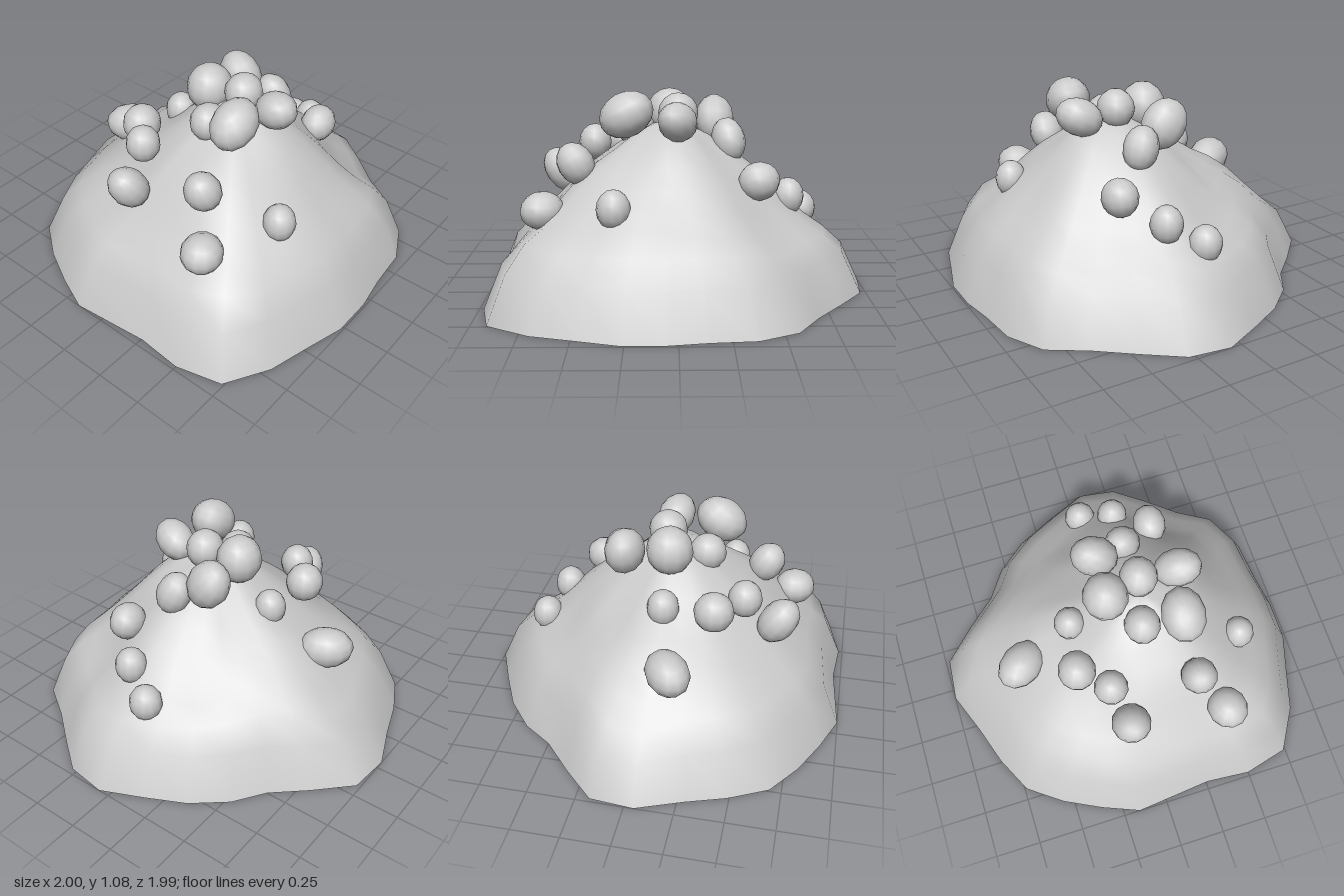
import * as THREE from 'three';

// Ground outline of the mound as x, z pairs, back -> right -> front -> left
const OUTLINE = [
  [-0.05, -1], [0.18, -0.98], [0.35, -0.81], [0.5, -0.64], [0.66, -0.53], [0.8, -0.36], [0.9, -0.16],
  [1, 0.06], [0.97, 0.28], [0.83, 0.47], [0.69, 0.65], [0.57, 0.84], [0.37, 0.94], [0.14, 0.96],
  [-0.05, 0.99], [-0.27, 0.99], [-0.48, 0.93], [-0.7, 0.87], [-0.92, 0.74], [-0.98, 0.5], [-0.96, 0.26],
  [-1, -0.16], [-0.92, -0.36], [-0.82, -0.56], [-0.69, -0.74], [-0.49, -0.84], [-0.28, -0.91],
];

// Height of the mound at each fraction of the way from summit to rim
const PROFILE = [
  [0, 0.9], [0.1, 0.88], [0.2, 0.83], [0.3, 0.76], [0.4, 0.69], [0.5, 0.61],
  [0.6, 0.52], [0.7, 0.43], [0.8, 0.345], [0.9, 0.23], [1, 0],
];

// Local humps and hollows: x, z, height, radius
const BUMPS = [
  [0, 0.38, 0.05, 0.15], [0.27, -0.52, 0.05, 0.16], [0.52, -0.17, -0.06, 0.17], [0.47, 0.5, -0.07, 0.17],
  [0.7, 0.18, -0.05, 0.17], [-0.75, 0.62, 0.025, 0.12], [-0.5, 0.57, -0.02, 0.12], [-0.2, 0.72, 0.02, 0.15],
  [-0.5, 0.22, 0.02, 0.15], [-0.05, -0.3, -0.04, 0.15], [0.2, -0.26, -0.03, 0.13], [-0.42, -0.28, -0.045, 0.2],
  [0.62, -0.4, 0.03, 0.12], [-0.74, 0.4, -0.025, 0.12], [0, -0.8, -0.06, 0.2], [-0.72, -0.12, -0.025, 0.15],
];

const SUMMIT = [-0.05, 0.12];

function createMound(material) {
  const n = OUTLINE.length;
  const positions = [];
  const index = [];
  for (const [t, height] of PROFILE) {
    for (const [ox, oz] of OUTLINE) {
      const x = THREE.MathUtils.lerp(SUMMIT[0], ox, t);
      const z = THREE.MathUtils.lerp(SUMMIT[1], oz, t);
      let y = height;
      for (const [bx, bz, amount, radius] of BUMPS) {
        const d2 = (x - bx) ** 2 + (z - bz) ** 2;
        y += amount * Math.exp(-d2 / radius ** 2) * Math.min(1, (1 - t) * 6);
      }
      positions.push(x, y, z);
    }
  }
  // Join neighbouring rings; the first ring is the summit point
  for (let r = 0; r < PROFILE.length - 1; r++) {
    for (let i = 0; i < n; i++) {
      const j = (i + 1) % n;
      const a = r * n + i, b = r * n + j, c = a + n, d = b + n;
      if (r === 0) index.push(0, d, c);
      else index.push(a, b, c, b, d, c);
    }
  }
  const geometry = new THREE.BufferGeometry();
  geometry.setAttribute('position', new THREE.Float32BufferAttribute(positions, 3));
  geometry.setIndex(index);
  geometry.computeVertexNormals();
  const mound = new THREE.Mesh(geometry, material);
  mound.name = 'mound';
  return mound;
}

// Eggs: centre x, y, z, radii x, y, z, then pitch, yaw, roll (0 when left out)
const EGGS = [
  [-0.04, 0.925, -0.06, 0.125, 0.13, 0.12],
  [0.205, 0.885, -0.045, 0.105, 0.14, 0.12, -0.6, -0.35],
  [0.005, 0.945, 0.13, 0.105, 0.105, 0.1],
  [-0.22, 0.86, 0.08, 0.1, 0.1, 0.095],
  [-0.26, 0.955, 0.28, 0.145, 0.115, 0.115, 0, 0, 0.5],
  [0, 0.925, 0.34, 0.1, 0.098, 0.13, -0.45, -0.25],
  [0.27, 0.8, 0.13, 0.09, 0.12, 0.095, -0.35, 0, 0.2],
  [0.415, 0.62, 0.335, 0.108, 0.1, 0.092, 0, 0, 0.3],
  [0.585, 0.505, 0.17, 0.085, 0.1, 0.085],
  [0.675, 0.4, 0, 0.085, 0.098, 0.088],
  [-0.13, 0.52, -0.565, 0.11, 0.108, 0.147, 0, 0.6],
  [-0.045, 0.7, -0.26, 0.085, 0.1, 0.085],
  [-0.315, 0.735, -0.3, 0.105, 0.105, 0.1],
  [-0.63, 0.595, -0.105, 0.098, 0.135, 0.105, 0, 0, 0.6],
  [-0.455, 0.745, -0.16, 0.09, 0.1, 0.09],
  [-0.52, 0.705, 0.295, 0.095, 0.115, 0.095, 0, 0, 0.5],
  [-0.68, 0.49, 0.42, 0.115, 0.097, 0.107, 0, 0.4],
  [-0.312, 0.54, 0.608, 0.085, 0.1, 0.085],
];

export function createModel() {
  const model = new THREE.Group();
  model.name = 'eggMound';

  // Hollow mound, open underneath
  const moundMaterial = new THREE.MeshStandardMaterial({ color: 0xcccccc, side: THREE.DoubleSide });
  model.add(createMound(moundMaterial));

  // Eggs half sunk into the slopes
  const eggMaterial = new THREE.MeshStandardMaterial({ color: 0xcccccc });
  const eggGeometry = new THREE.SphereGeometry(1, 12, 8);
  const eggs = new THREE.Group();
  eggs.name = 'eggs';
  EGGS.forEach(([x, y, z, rx, ry, rz, pitch = 0, yaw = 0, roll = 0], i) => {
    const egg = new THREE.Mesh(eggGeometry, eggMaterial);
    egg.name = `egg${i + 1}`;
    egg.position.set(x, y, z);
    egg.scale.set(rx, ry, rz);
    egg.rotation.set(pitch, yaw, roll);
    eggs.add(egg);
  });
  model.add(eggs);
  return model;
}
